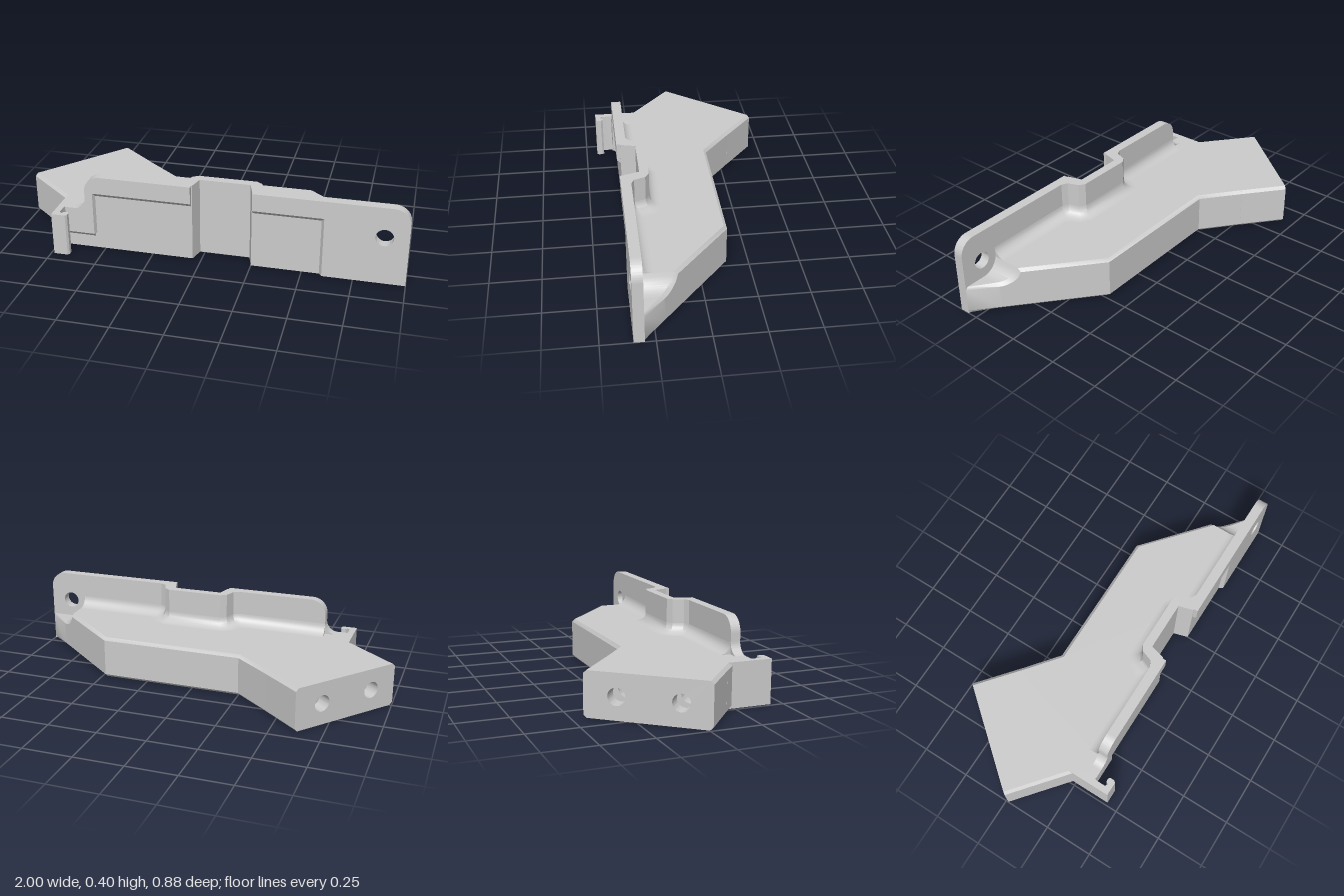
import * as THREE from 'three';
import { toCreasedNormals } from 'three/addons/utils/BufferGeometryUtils.js';

const H = 0.22;      // body height
const TOP = 0.4;     // wall height
const C = 0.015;     // chamfer

export function createModel() {
  const group = new THREE.Group();
  const material = new THREE.MeshStandardMaterial({ color: 0xcccccc });

  const add = (name, geometry, parent = group) => {
    const mesh = new THREE.Mesh(toCreasedNormals(geometry, 0.5), material);
    mesh.name = name;
    parent.add(mesh);
    return mesh;
  };
  const shapeOf = pts => new THREE.Shape(pts.map(p => new THREE.Vector2(p[0], p[1])));
  const extrude = (shape, z0, z1) =>
    new THREE.ExtrudeGeometry(shape, { depth: z1 - z0, bevelEnabled: false, curveSegments: 24 }).translate(0, 0, z0);
  // Plan outline (x, z) raised from the ground to height h
  const raise = (pts, h) => extrude(shapeOf(pts), 0, h).rotateX(Math.PI / 2).translate(0, h, 0);
  const circle = (x, y, r) => new THREE.Path().absarc(x, y, r, 0, Math.PI * 2, true);

  // Closed solid through matching rings; caps are triangulated without the given axis
  function loft(rings, dropAxis) {
    const flat = rings[0].map(p => new THREE.Vector2(...p.filter((_, k) => k !== dropAxis)));
    if (THREE.ShapeUtils.isClockWise(flat)) {
      flat.reverse();
      rings = rings.map(r => [...r].reverse());
    }
    const n = flat.length, last = (rings.length - 1) * n, index = [];
    for (let r = 0; r < rings.length - 1; r++) {
      for (let i = 0; i < n; i++) {
        const a = r * n + i, b = r * n + (i + 1) % n;
        index.push(a, b, b + n, a, b + n, a + n);
      }
    }
    for (const [a, b, c] of THREE.ShapeUtils.triangulateShape(flat, [])) {
      index.push(a, c, b, last + a, last + b, last + c);
    }
    // Turn the faces outward by the sign of the enclosed volume
    const v = rings.flat().map(p => new THREE.Vector3(...p));
    let volume = 0;
    for (let i = 0; i < index.length; i += 3) {
      volume += v[index[i]].dot(v[index[i + 1]].clone().cross(v[index[i + 2]]));
    }
    if (volume < 0) index.reverse();
    const g = new THREE.BufferGeometry().setFromPoints(v);
    g.setIndex(index);
    return g;
  }

  // Main body: plan points with the inward shift of their chamfer (x, z, dx, dz)
  const plan = [
    [-0.812, 0.172, 0.0096, -0.0115], [-0.735, 0.236, 0, -0.02], [-0.735, 0.33, 0, 0],
    [-0.6, 0.33, 0, 0], [-0.6, 0.31, 0, 0], [-0.08, 0.31, 0, 0], [-0.04, 0.235, 0, 0],
    [0.25, 0.235, 0, 0], [0.29, 0.31, 0, 0], [0.8, 0.31, 0, 0], [0.8, 0.131, 0, 0.02],
    [0.48, -0.14, -0.005, C], [-0.25, -0.14, -0.005, C], [-0.431, -0.286, -0.0096, 0.0115],
  ];
  add('body', loft([[0, 1], [C, 0], [H - C, 0], [H, 1]].map(([y, k]) =>
    plan.map(([x, z, dx, dz]) => [x + k * dx, y, z + k * dz])), 1));

  // Body tip, lowered in an arc around the mounting hole
  const tip = [];
  for (let i = 0; i <= 13; i++) {
    const x = i < 13 ? 0.8 + 0.085 * i / 12 : 1;
    const h = i < 13 ? Math.min(H, 0.235 - Math.sqrt(Math.max(0, 0.085 ** 2 - (x - 0.885) ** 2))) : 0.15;
    const z = 0.131 + 0.169 * (x - 0.8) / 0.2, zc = Math.min(z + 0.02, 0.309);
    tip.push([[x, 0, zc], [x, C, z], [x, h - C, z], [x, h, zc], [x, h, 0.31], [x, 0, 0.31]]);
  }
  add('bodyTip', loft(tip, 0));

  // End block in slices: screw holes, nut slots open below, screw holes again
  const endBlock = new THREE.Group();
  endBlock.name = 'endBlock';
  endBlock.position.set(-1, 0, 0.015);
  endBlock.rotation.y = Math.atan2(0.768, 0.64);
  group.add(endBlock);
  const W = 0.596, holes = [0.143, 0.44];
  const section = slots => shapeOf([
    [C, 0],
    ...(slots ? holes.flatMap(u => [[u - 0.075, 0], [u - 0.075, 0.18], [u + 0.075, 0.18], [u + 0.075, 0]]) : []),
    [W - C, 0], [W, C], [W, H - C], [W - C, H], [C, H], [0, H - C], [0, C],
  ]);
  const drilled = section(false);
  holes.forEach(u => drilled.holes.push(circle(u, 0.11, 0.042)));
  add('screwHoleFace', extrude(drilled, 0, 0.075), endBlock);
  add('nutSlots', extrude(section(true), 0.075, 0.145), endBlock);
  add('screwHoleBack', extrude(drilled, 0.145, 0.245), endBlock);

  // Left and right wall panels: a full back layer and a recessed front layer
  function leftPanel(recessed) {
    const s = new THREE.Shape();
    s.moveTo(-0.05, recessed ? 0.31 : 0);
    s.lineTo(-0.05, TOP);
    s.lineTo(-0.51, TOP);
    s.absarc(-0.51, 0.32, 0.08, Math.PI / 2, Math.PI, false);
    s.lineTo(-0.59, 0.28);
    s.absarc(-0.65, 0.28, 0.06, 0, -Math.PI / 2, true);
    s.lineTo(-0.695, H);
    s.lineTo(-0.695, recessed ? 0.085 : 0);
    if (recessed) {
      s.lineTo(-0.55, 0.085);
      s.lineTo(-0.55, 0.31);
    }
    return s;
  }
  function rightPanel(recessed) {
    const s = new THREE.Shape();
    s.moveTo(recessed ? 0.6 : 0.255, 0);
    s.lineTo(1, 0);
    s.lineTo(1, 0.32);
    s.absarc(0.92, 0.32, 0.08, 0, Math.PI / 2, false);
    s.lineTo(0.255, TOP);
    if (recessed) {
      s.lineTo(0.255, 0.31);
      s.lineTo(0.6, 0.31);
    }
    s.holes.push(circle(0.885, 0.245, 0.043));
    return s;
  }
  for (const [name, panel] of [['leftEndWall', rightPanel], ['rightEndWall', leftPanel]]) {
    add(name, extrude(panel(false), 0.3, 0.33));
    add(name + 'Front', extrude(panel(true), 0.33, 0.35));
  }

  // Sloped edges of the front recesses
  const ledge = (x0, x1, y) => add('recessSlope', loft([x0, x1].map(x =>
    [[x, y, 0.33], [x, y, 0.35], [x, y - 0.02, 0.33]]), 0));
  const jamb = (x, dx, y0, y1) => add('recessSlope', loft([y0, y1].map(y =>
    [[x, y, 0.33], [x, y, 0.35], [x + dx, y, 0.33]]), 1));
  ledge(-0.55, -0.05, 0.31);
  ledge(-0.695, -0.55, 0.085);
  ledge(0.255, 0.6, 0.31);
  jamb(-0.55, 0.008, 0.085, 0.31);
  jamb(0.6, -0.014, 0, 0.31);

  // Stepped middle of the wall
  const back = [
    [-0.59, 0.3], [-0.12, 0.3], [-0.09, 0.285], [-0.07, 0.23], [-0.04, 0.21],
    [0.25, 0.21], [0.28, 0.23], [0.3, 0.285], [0.33, 0.3], [0.8, 0.3],
  ];
  add('steppedWall', raise([
    ...back.slice(1, 9), [0.33, 0.33], [0.25, 0.33], [0.228, 0.255], [-0.025, 0.255], [-0.045, 0.33], [-0.12, 0.33],
  ], TOP));

  // Cove between the wall and the top of the body
  const foot = [
    [-0.59, 0.245], [-0.16, 0.245], [-0.145, 0.235], [-0.115, 0.185], [-0.06, 0.155],
    [0.27, 0.155], [0.325, 0.185], [0.355, 0.235], [0.37, 0.245], [0.8, 0.245],
  ];
  add('cove', loft(back.map(([x, z], i) => {
    const ring = [[x, H - 0.01, z], [foot[i][0], H - 0.01, foot[i][1]]];
    for (let k = 0; k <= 8; k++) {
      const a = k / 8 * Math.PI / 2, t = 1 - Math.sin(a);
      ring.push([x + (foot[i][0] - x) * t, H + 0.055 * (1 - Math.cos(a)), z + (foot[i][1] - z) * t]);
    }
    return ring;
  }), 0));

  // Clip hook
  add('clipHook', raise([
    [-0.735, 0.236], [-0.69, 0.3], [-0.69, 0.35], [-0.7, 0.345], [-0.703, 0.36], [-0.703, 0.405],
    [-0.69, 0.415], [-0.682, 0.402], [-0.664, 0.4], [-0.656, 0.41], [-0.656, 0.43], [-0.664, 0.44], [-0.735, 0.44],
  ], H));

  return group;
}
